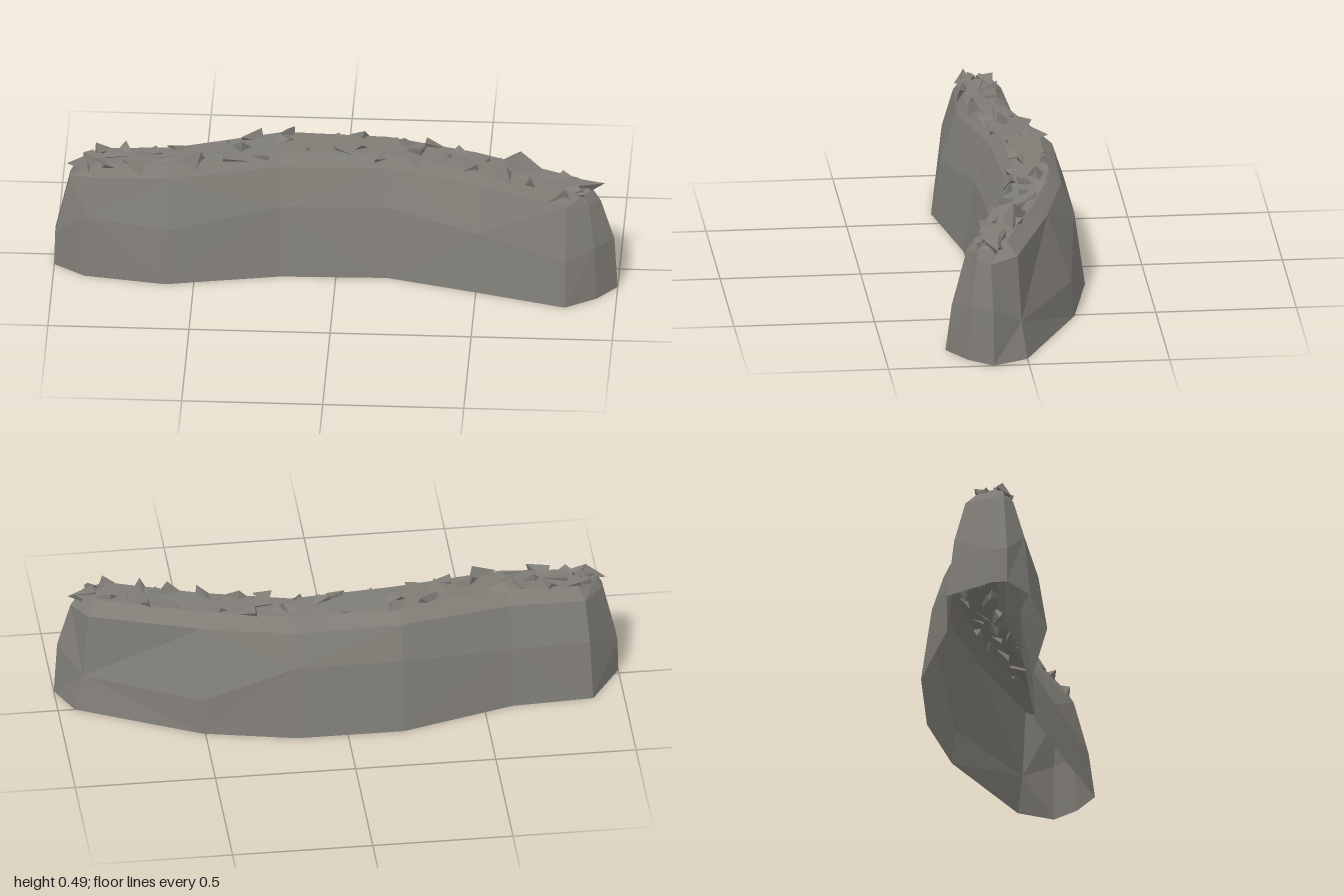
import * as THREE from 'three';
import { mergeGeometries } from 'three/addons/utils/BufferGeometryUtils.js';

// Plan outlines [x, z], running along the front left to right, then along the back.
// Point i on the front pairs with point 15 - i on the back.
const BASE = [
  [-1, 0.07], [-0.89, 0.145], [-0.6, 0.19], [-0.2, 0.115], [0.18, 0.105], [0.5, 0.19], [0.82, 0.28], [0.93, 0.21],
  [1, 0.125], [0.94, 0], [0.51, -0.21], [0.18, -0.28], [-0.2, -0.28], [-0.6, -0.165], [-0.89, -0.15], [-1, 0.02],
];
const SHOULDER = [
  [-0.945, 0.055], [-0.87, 0.085], [-0.6, 0.1], [-0.2, 0.02], [0.18, 0], [0.5, 0.085], [0.82, 0.205], [0.9, 0.175],
  [0.94, 0.13], [0.89, 0.03], [0.5, -0.115], [0.18, -0.195], [-0.2, -0.2], [-0.6, -0.095], [-0.87, -0.085], [-0.945, 0.02],
];
// Height of the seam between lower and upper wall, and how far it leans in
const SEAM_Y = [0.13, 0.23, 0.2, 0.26, 0.26, 0.22, 0.17, 0.2, 0.2, 0.13, 0.13, 0.27, 0.27, 0.22, 0.22, 0.13];
const SEAM_LEAN = [0.05, 0.35, 0.35, 0.45, 0.45, 0.35, 0.3, 0.3, 0.2, 0.6, 0.12, 0.45, 0.48, 0.4, 0.4, 0.05];
// Crest height at each front/back pair
const CREST = [0.4, 0.412, 0.42, 0.438, 0.428, 0.422, 0.412, 0.4];
const N = BASE.length;
const pairOf = (i) => Math.min(i, N - 1 - i);
const lerp = THREE.MathUtils.lerp;

function seeded(seed) {
  return () => (seed = (seed * 16807) % 2147483647) / 2147483647;
}

function buildRings() {
  const base = BASE.map(([x, z]) => new THREE.Vector3(x, 0, z));
  const shoulder = SHOULDER.map(([x, z], i) => new THREE.Vector3(x, CREST[pairOf(i)] - 0.042, z));
  const seam = base.map((p, i) => p.clone().lerp(shoulder[i], SEAM_LEAN[i]).setY(SEAM_Y[i]));
  // the crest lies further in along the back than along the front
  const crest = shoulder.map((p, i) => {
    const v = p.clone().lerp(shoulder[N - 1 - i], i < N / 2 ? 0.15 : 0.22);
    v.x *= 0.975;
    return v.setY(CREST[pairOf(i)]);
  });
  return [base, seam, shoulder, crest];
}

// Walls between the rings, and a strip closing the crest; open underneath
function bankGeometry(rings) {
  const pos = [];
  const tri = (...pts) => pts.forEach((p) => pos.push(p.x, p.y, p.z));
  const quad = (a, b, c, d, flip) => {
    if (flip) { tri(a, b, d); tri(b, c, d); } else { tri(a, b, c); tri(a, c, d); }
  };
  for (let r = 0; r < rings.length - 1; r++) {
    for (let i = 0; i < N; i++) {
      const j = (i + 1) % N;
      quad(rings[r][i], rings[r][j], rings[r + 1][j], rings[r + 1][i], (i + r) % 2);
    }
  }
  const top = rings[rings.length - 1];
  for (let i = 0; i < N / 2 - 1; i++) quad(top[i], top[i + 1], top[N - 2 - i], top[N - 1 - i], i % 2);
  const g = new THREE.BufferGeometry();
  g.setAttribute('position', new THREE.Float32BufferAttribute(pos, 3));
  g.computeVertexNormals();
  return g;
}

// Irregular chips half buried in the crest, mostly along its two edges
function rubbleGeometry(crest, rand) {
  const chips = [];
  const count = 54;
  for (let k = 0; k < count; k++) {
    const t = lerp(0.35, N / 2 - 1.35, (k + rand()) / count);
    const i = Math.floor(t);
    const f = t - i;
    const front = crest[i].clone().lerp(crest[i + 1], f);
    const back = crest[N - 1 - i].clone().lerp(crest[N - 2 - i], f);
    const side = [lerp(-0.02, 0.15, rand()), lerp(0.2, 0.7, rand()), lerp(0.75, 0.98, rand())][k % 3];
    const at = front.clone().lerp(back, side);
    at.y += lerp(-0.018, 0.004, rand());
    const g = new THREE.TetrahedronGeometry(1);
    // tumble first, then flatten, so that every chip has its own shape
    g.rotateX(rand() * Math.PI * 2);
    g.rotateZ(rand() * Math.PI * 2);
    g.scale(lerp(0.04, 0.075, rand()), lerp(0.025, 0.045, rand()), lerp(0.02, 0.038, rand()));
    g.rotateX(lerp(-0.3, 0.3, rand()));
    g.rotateY(Math.atan2(crest[i].z - crest[i + 1].z, crest[i + 1].x - crest[i].x) + lerp(-0.5, 0.5, rand()));
    g.translate(at.x, at.y, at.z);
    chips.push(g);
  }
  const merged = mergeGeometries(chips);
  merged.computeVertexNormals();
  return merged;
}

export function createModel() {
  const group = new THREE.Group();
  group.name = 'rockBank';
  const stone = new THREE.MeshStandardMaterial({ color: 0x7f7c76, flatShading: true, side: THREE.DoubleSide });
  stone.name = 'warm grey stone';

  const rings = buildRings();
  const add = (name, geometry) => {
    const mesh = new THREE.Mesh(geometry, stone);
    mesh.name = name;
    group.add(mesh);
    return mesh;
  };

  add('bank', bankGeometry(rings));
  add('crestRubble', rubbleGeometry(rings[3], seeded(4217)));

  // One larger low slab standing out of the crest near the right end
  const slab = add('crestSlab', new THREE.ConeGeometry(1, 1, 3));
  slab.scale.set(0.11, 0.08, 0.05);
  slab.rotation.y = -0.4;
  slab.position.set(0.65, 0.445, 0.02);

  // Thin splinter set into the right end
  const splinter = add('endSplinter', new THREE.ConeGeometry(0.02, 0.26, 3));
  splinter.position.set(0.89, 0.255, 0.19);
  splinter.rotation.set(Math.PI - 0.1, 0.4, -0.1);
  return group;
}
